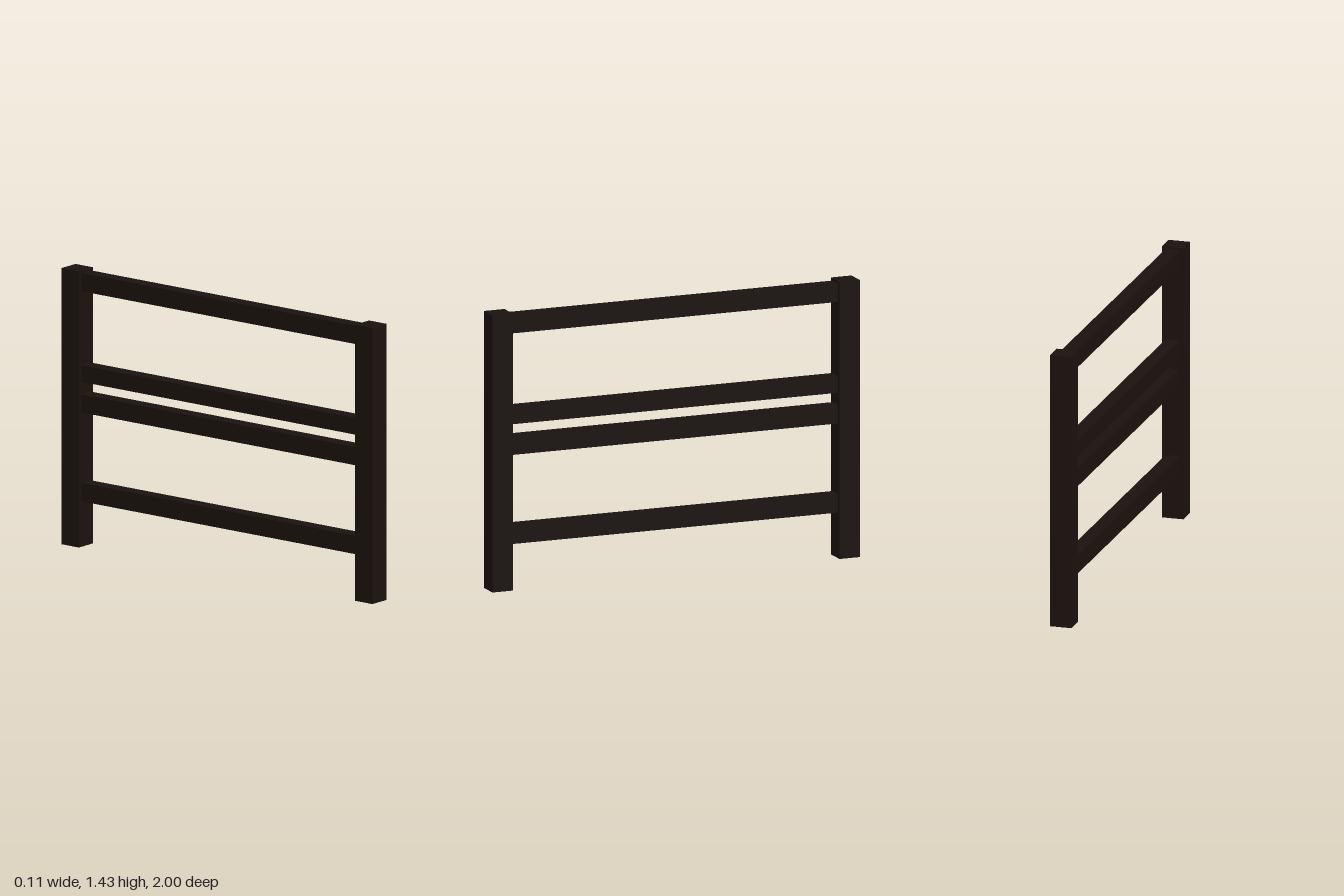
import * as THREE from 'three';

const HEIGHT = 1.426;
const POST = 0.112;
const RAIL_WIDTH = 0.074;

export function createModel() {
  const group = new THREE.Group();
  const material = new THREE.MeshStandardMaterial({ color: 0x1a120e });

  const addBox = (name, w, h, d, y, z) => {
    const mesh = new THREE.Mesh(new THREE.BoxGeometry(w, h, d), material);
    mesh.name = name;
    mesh.position.set(0, y, z);
    group.add(mesh);
  };

  // Square end posts
  for (const [name, side] of [['frontPost', 1], ['backPost', -1]]) {
    addBox(name, POST, HEIGHT, POST, HEIGHT / 2, side * (1 - POST / 2));
  }

  // Horizontal rails spanning between the posts: [name, bottom, top]
  const rails = [
    ['bottomRail', 0.235, 0.33],
    ['lowerMiddleRail', 0.694, 0.788],
    ['upperMiddleRail', 0.852, 0.938],
    ['topRail', 1.32, 1.414],
  ];
  for (const [name, bottom, top] of rails) {
    addBox(name, RAIL_WIDTH, top - bottom, 2 - 2 * POST, (bottom + top) / 2, 0);
  }

  return group;
}
